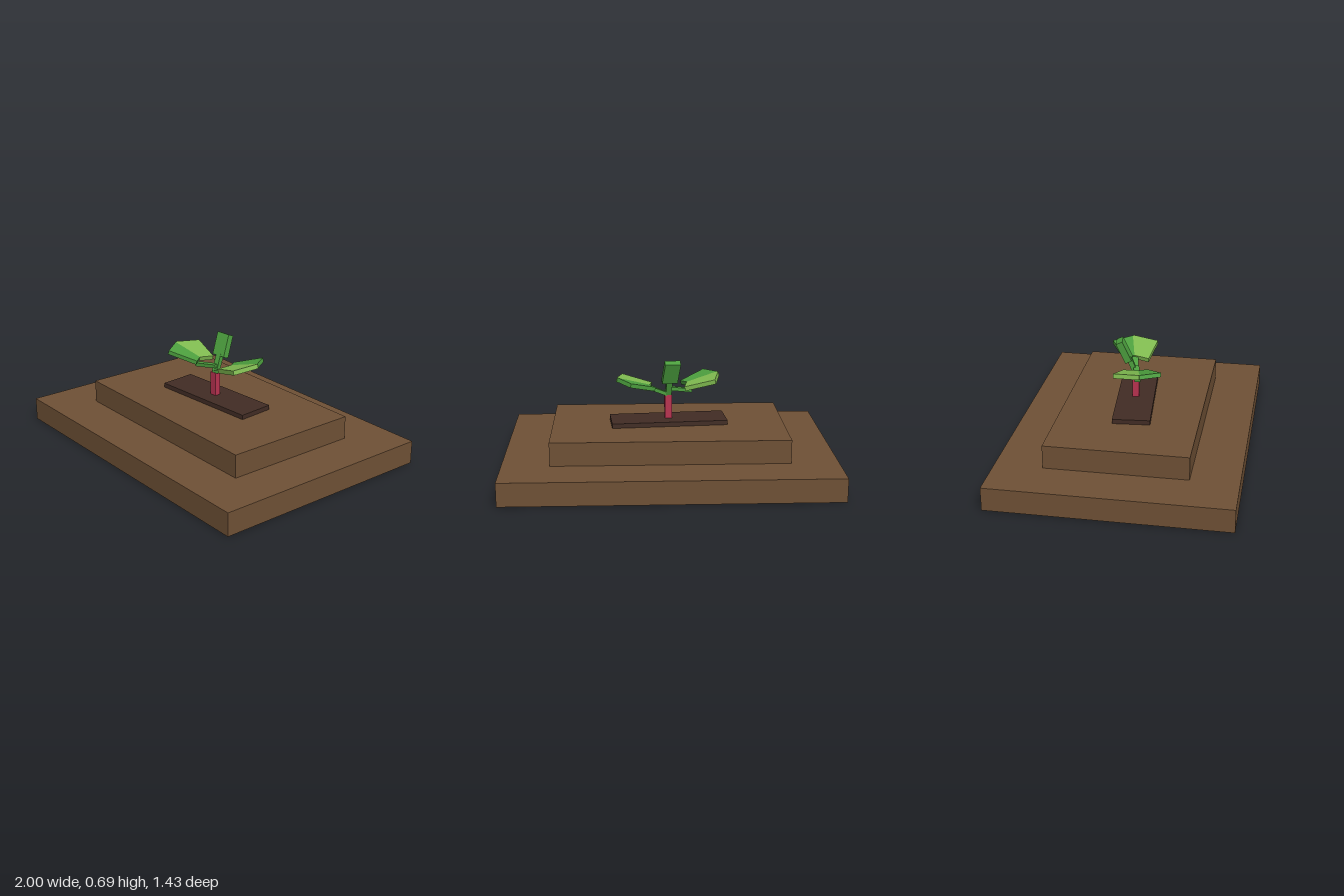
import * as THREE from 'three';

const mat = (name, color) => {
  const m = new THREE.MeshStandardMaterial({ color });
  m.name = name;
  return m;
};

export function createModel() {
  const soil = mat('soil brown', 0x6e5035);
  const darkSoil = mat('dark soil', 0x412c24);
  const red = mat('stem red', 0xb83250);
  const green = mat('leaf green', 0x4c9f3e);
  const lime = mat('light leaf green', 0x80bb50);

  const model = new THREE.Group();
  model.name = 'seedling';
  const V = (a) => new THREE.Vector3(...a);

  const add = (parent, name, geometry, material) => {
    const mesh = new THREE.Mesh(geometry, material);
    mesh.name = name;
    parent.add(mesh);
    return mesh;
  };

  // upright block standing on height y
  const block = (name, w, h, d, y, material, turn = 0) => {
    const mesh = add(model, name, new THREE.BoxGeometry(w, h, d), material);
    mesh.position.y = y + h / 2;
    mesh.rotation.y = turn;
  };

  // slab spanned by edges u and v from a corner, thickened along u x v
  const slab = (parent, name, corner, u, v, t, material) => {
    const U = V(u), W = V(v);
    const N = U.clone().cross(W).setLength(t);
    const g = new THREE.BoxGeometry(1, 1, 1).translate(0.5, 0.5, 0.5);
    g.applyMatrix4(new THREE.Matrix4().makeBasis(U, W, N).setPosition(V(corner)));
    add(parent, name, g, material);
  };

  // square bar between two points
  const bar = (parent, name, from, to, w, d, material) => {
    const a = V(from), b = V(to);
    const mesh = add(parent, name, new THREE.BoxGeometry(w, d, a.distanceTo(b)), material);
    mesh.position.copy(a).lerp(b, 0.5);
    mesh.lookAt(b);
  };

  // stepped mound
  block('lowerStep', 2, 0.143, 1.43, 0, soil);
  block('upperStep', 1.43, 0.143, 0.855, 0.143, soil);
  block('soilPatch', 0.713, 0.028, 0.228, 0.286, darkSoil, 0.08);
  block('stem', 0.044, 0.148, 0.04, 0.314, red, 0.08);

  // two side leaves, half a turn apart
  for (const [name, turn] of [['leftLeaf', 0], ['rightLeaf', Math.PI]]) {
    const leaf = new THREE.Group();
    leaf.name = name;
    leaf.rotation.y = turn;
    bar(leaf, 'stalk', [-0.005, 0.46, 0], [0.14, 0.522, -0.03], 0.035, 0.022, green);
    slab(leaf, 'lowerBlade', [0.085, 0.503, -0.085], [0.085, 0.01, 0.12], [0.15, 0.05, -0.105], 0.026, green);
    slab(leaf, 'upperBlade', [0.137, 0.512, -0.102], [-0.032, -0.015, 0.163], [0.185, 0.05, 0.03], 0.028, lime);
    model.add(leaf);
  }

  // upright middle leaf, leaning back
  const middle = new THREE.Group();
  middle.name = 'middleLeaf';
  bar(middle, 'stalk', [0, 0.455, 0], [-0.007, 0.575, -0.045], 0.036, 0.03, green);
  slab(middle, 'blade', [-0.056, 0.545, -0.058], [0.095, 0, -0.01], [-0.018, 0.13, -0.055], 0.042, green);
  model.add(middle);

  return model;
}
